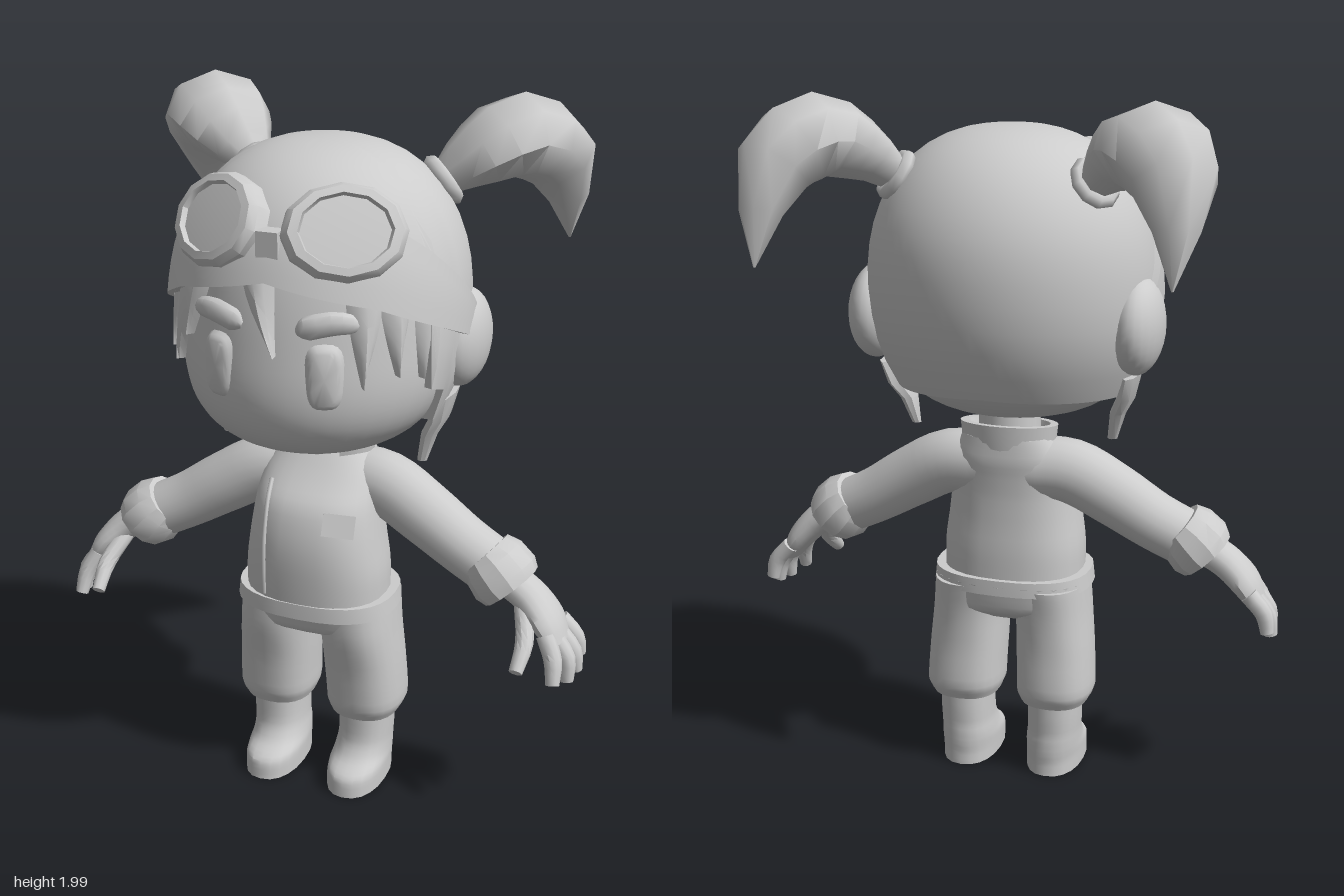
import * as THREE from 'three';
import { toCreasedNormals } from 'three/addons/utils/BufferGeometryUtils.js';

const V = (x, y, z) => new THREE.Vector3(x, y, z);
const X = V(1, 0, 0), UP = V(0, 1, 0), FRONT = V(0, 0, 1);

// Rectangular mesh of points given by fn(u, v), u and v in 0..1
function grid(nu, nv, fn, crease = 0.7) {
  const pos = [], idx = [];
  for (let j = 0; j <= nv; j++) for (let i = 0; i <= nu; i++) pos.push(...fn(i / nu, j / nv));
  for (let j = 0; j < nv; j++) for (let i = 0; i < nu; i++) {
    const a = j * (nu + 1) + i, b = a + nu + 1;
    idx.push(a, a + 1, b, a + 1, b + 1, b);
  }
  const g = new THREE.BufferGeometry();
  g.setAttribute('position', new THREE.Float32BufferAttribute(pos, 3));
  g.setIndex(idx);
  return toCreasedNormals(g, crease);
}

// Capped sweep through sections [x, y, z, radius along ref, radius across]
function loft(sections, { n = 20, steps = 4, ref = X, axis = null, power = 2, crease = 0.7 } = {}) {
  const path = new THREE.CatmullRomCurve3(sections.map(s => V(s[0], s[1], s[2])));
  const radii = new THREE.CatmullRomCurve3(sections.map(s => V(s[3], s[4], 0)));
  const rows = (sections.length - 1) * steps;
  const round = c => Math.sign(c) * Math.abs(c) ** (2 / power);
  return grid(n, rows + 2, (u, v) => {
    const k = Math.round(v * (rows + 2)) - 1, t = Math.min(Math.max(k / rows, 0), 1);
    const cap = k < 0 || k > rows ? 0 : 1;
    const c = path.getPoint(t), r = radii.getPoint(t).multiplyScalar(cap);
    const T = axis || path.getTangent(t);
    const w = ref.clone().addScaledVector(T, -ref.dot(T)).normalize();
    const s = V(0, 0, 0).crossVectors(T, w), a = u * Math.PI * 2;
    return c.addScaledVector(w, round(Math.cos(a)) * r.x).addScaledVector(s, round(Math.sin(a)) * r.y).toArray();
  }, crease);
}

// Piecewise linear lookup in [[x, value], ...]
function lookup(table, x) {
  const i = Math.max(1, table.findIndex(p => p[0] >= x));
  const [a, b] = [table[i - 1], table[i]];
  return THREE.MathUtils.lerp(a[1], b[1], (x - a[0]) / (b[0] - a[0]));
}

// Head and helmet radius at each height; the centre moves forward towards the chin
const helmetR = y => y > 1.42
  ? 0.405 * Math.max(0, 1 - ((y - 1.42) / 0.48) ** 2.4) ** (1 / 2.4)
  : 0.405 - 1.04 * (1.42 - y) ** 2;
const faceR = y => y > 1.42
  ? helmetR(y) * 0.926
  : 0.375 * Math.max(0, 1 - ((1.42 - y) / 0.335) ** 2.8) ** (1 / 2.8);
const headZ = y => 0.035 + 0.075 * Math.max(0, (1.65 - y) / 0.565) ** 1.5;
const onHead = (deg, y, R, off) => {
  const a = deg * Math.PI / 180, r = Math.max(0, R(y) + off);
  return [r * Math.sin(a), y, headZ(y) + r * Math.cos(a)];
};

export function createModel() {
  const grey = new THREE.MeshStandardMaterial({ color: 0xcccccc, side: THREE.DoubleSide });
  grey.name = 'light grey';
  const model = new THREE.Group();
  const add = (name, geo, parent = model) => {
    const m = new THREE.Mesh(geo, grey);
    m.name = name;
    parent.add(m);
    return m;
  };

  // Head
  add('head', grid(40, 28, (u, v) => onHead(u * 360, 1.42 - 0.335 * Math.cos(v * Math.PI * 0.75), faceR, 0)));

  // Helmet, cut away around the face, with a turned-in rim
  const rim = [[0, 1.61], [40, 1.55], [65, 1.48], [70, 1.3], [80, 1.28], [85, 1.18], [110, 1.17], [180, 1.2]];
  add('helmet', grid(72, 17, (u, v) => {
    const deg = u * 360 - 180, low = lookup(rim, Math.abs(deg));
    const k = Math.round(v * 17) - 1;
    if (k < 0) return onHead(deg, low, helmetR, -0.05);
    return onHead(deg, low + (1.9 - low) * Math.sin(k / 16 * Math.PI / 2), helmetR, 0);
  }));

  // Goggle strap running from ear to ear
  const strapLow = [[0, 1.61], [40, 1.55], [65, 1.48], [100, 1.38]];
  const strapTop = [[0, 1.7], [25, 1.76], [48, 1.75], [65, 1.67], [100, 1.46]];
  add('goggleStrap', grid(48, 6, (u, v) => {
    const deg = u * 200 - 100, a = Math.abs(deg), k = Math.round(v * 6);
    const y = THREE.MathUtils.lerp(lookup(strapLow, a), lookup(strapTop, a), Math.min(Math.max((k - 1) / 4, 0), 1));
    return onHead(deg, y, helmetR, k === 0 || k === 6 ? -0.01 : 0.018);
  }));
  add('goggleBridge', new THREE.BoxGeometry(0.06, 0.07, 0.05)).position.set(0, 1.7, 0.395);

  // Fringe strands: [angle of left root, right root, tip, root height, tip height]
  const strands = [[-14, 2, 4, 1.63, 1.42], [-58, -38, -52, 1.57, 1.33], [-42, -30, -40, 1.58, 1.42],
    [30, 46, 38, 1.58, 1.34], [44, 58, 52, 1.55, 1.36], [60, 70, 64, 1.5, 1.34], [-70, -60, -64, 1.5, 1.34]];
  strands.forEach(([l, r, tip, y0, y1]) => add('fringeStrand', grid(4, 6, (u, v) => {
    const t = 1 - v, deg = THREE.MathUtils.lerp(THREE.MathUtils.lerp(l, r, u), tip, t ** 1.4);
    return onHead(deg, y0 + (y1 - y0) * t, faceR, 0.004 + 0.025 * Math.sin(u * Math.PI));
  })));

  // Neck, torso, belt and hips
  add('neck', new THREE.CylinderGeometry(0.085, 0.095, 0.2, 20)).position.set(0, 1.03, 0.02);
  add('jacketBody', loft([[0, 0.59, 0.08, 0.205, 0.168], [0, 0.68, 0.083, 0.205, 0.17], [0, 0.8, 0.085, 0.19, 0.165],
    [0, 0.9, 0.07, 0.178, 0.15], [0, 0.97, 0.035, 0.168, 0.12], [0, 1.035, 0.01, 0.13, 0.09]],
  { n: 28, axis: UP, power: 2.4 }));
  add('belt', loft([[0, 0.575, 0.075, 0.235, 0.18], [0, 0.62, 0.075, 0.23, 0.178]], { n: 32, steps: 1, axis: UP, power: 2.5 }));
  add('hips', loft([[0, 0.48, 0.06, 0.15, 0.09], [0, 0.52, 0.062, 0.22, 0.152], [0, 0.6, 0.068, 0.23, 0.172]],
    { n: 28, axis: UP, power: 2.5 }));

  // Upright collar, open at the throat and lower in front
  add('collar', grid(28, 3, (u, v) => {
    const a = (u * 300 + 30) * Math.PI / 180, k = Math.round(v * 3);
    const [r, h] = [[0.135, 0], [0.142, 1], [0.12, 1], [0.095, 0]][k];
    return [r * Math.sin(a), 1 + h * (0.065 - 0.01 * Math.cos(a)), 0.015 + r * 0.72 * Math.cos(a)];
  }));

  // Jacket opening and plain chest patch
  add('jacketSeam', new THREE.TubeGeometry(new THREE.CatmullRomCurve3(
    [V(-0.105, 0.63, 0.234), V(-0.105, 0.7, 0.238), V(-0.105, 0.8, 0.233), V(-0.107, 0.9, 0.2), V(-0.113, 0.95, 0.154)]), 20, 0.007, 6));
  const patch = add('chestPatch', new THREE.BoxGeometry(0.09, 0.065, 0.009));
  patch.position.set(0.11, 0.865, 0.212);
  patch.rotation.set(-0.33, 0.36, 0);

  // Everything that comes in pairs, built on +x and mirrored
  for (const side of [1, -1]) {
    const half = new THREE.Group();
    half.name = side > 0 ? 'leftSide' : 'rightSide';
    const put = (name, geo) => add(name, geo, half);

    // Eye and eyebrow
    const eye = put('eye', loft([[0, 0, -0.03, 0.045, 0.082], [0, 0, 0.01, 0.045, 0.082], [0, 0, 0.02, 0.032, 0.069]],
      { n: 24, steps: 2, axis: FRONT, power: 3.2 }));
    eye.position.set(0.145, 1.365, 0.398);
    eye.rotation.y = 0.38;
    put('eyebrow', loft([[0.075, 1.483, 0.405, 0.012, 0.012], [0.1, 1.493, 0.405, 0.032, 0.022],
      [0.16, 1.508, 0.388, 0.032, 0.024], [0.205, 1.505, 0.365, 0.026, 0.022], [0.225, 1.495, 0.35, 0.01, 0.01]],
    { n: 10, steps: 2, ref: UP }));

    // Goggle cup with rim and lens
    const goggle = new THREE.Group();
    goggle.name = 'goggle';
    half.add(goggle);
    goggle.position.set(0.17, 1.725, 0.325);
    goggle.lookAt(0.17 + 0.45, 1.725 + 0.5, 0.325 + 0.8);
    const cup = new THREE.LatheGeometry([[0.132, -0.06], [0.13, 0.012], [0.118, 0.032], [0.098, 0.036], [0.093, 0.022], [0, 0.028]]
      .map(p => new THREE.Vector2(...p)), 12);
    cup.rotateX(Math.PI / 2);
    cup.scale(1.24, 0.98, 1);
    add('goggleCup', toCreasedNormals(cup, 0.6), goggle);

    // Ear cup and hanging ear flap
    const ear = put('earCup', new THREE.SphereGeometry(0.135, 24, 16));
    ear.scale.set(0.55, 1, 1);
    ear.position.set(0.375, 1.375, -0.025);
    put('earFlap', loft([[0.352, 1.23, 0.025, 0.024, 0.09], [0.335, 1.16, 0.03, 0.026, 0.068],
      [0.31, 1.11, 0.04, 0.023, 0.04], [0.293, 1.03, 0.05, 0.014, 0.013]], { n: 8, steps: 1, axis: UP, crease: 0.5 }));

    // Pigtail and its tie
    put('pigtail', loft([[0.28, 1.775, -0.13, 0.052, 0.048], [0.36, 1.84, -0.175, 0.118, 0.085], [0.45, 1.88, -0.25, 0.148, 0.115],
      [0.53, 1.81, -0.35, 0.115, 0.105], [0.55, 1.56, -0.45, 0.003, 0.003]], { n: 8, steps: 2, ref: V(0.75, 0, 0.65), crease: 1 }));
    const tie = put('hairTie', new THREE.TorusGeometry(0.055, 0.022, 6, 10));
    tie.position.set(0.275, 1.77, -0.127);
    tie.lookAt(0.275 + 0.6, 1.77 + 0.5, -0.127 - 0.4);

    // Sleeve and cuff
    put('sleeve', loft([[0.06, 0.935, 0.01, 0.085, 0.09], [0.18, 0.93, 0.025, 0.09, 0.093], [0.3, 0.868, 0.04, 0.088, 0.09],
      [0.42, 0.795, 0.052, 0.085, 0.083], [0.54, 0.735, 0.068, 0.085, 0.08]], { ref: FRONT }));
    put('cuff', loft([[0.49, 0.785, 0.062, 0.09, 0.076], [0.515, 0.763, 0.065, 0.106, 0.092],
      [0.55, 0.725, 0.07, 0.11, 0.098], [0.57, 0.703, 0.072, 0.1, 0.086]], { n: 12, steps: 1, ref: FRONT, crease: 0.5 }));

    // Hand with five fingers
    put('palm', loft([[0.54, 0.735, 0.07, 0.055, 0.048], [0.62, 0.69, 0.077, 0.066, 0.046],
      [0.68, 0.63, 0.088, 0.082, 0.04], [0.715, 0.575, 0.095, 0.07, 0.027]], { n: 16, ref: FRONT }));
    const fingers = [[[0.7, 0.61, 0.028], [0.745, 0.56, 0.024], [0.758, 0.505, 0.018]],
      [[0.7, 0.6, 0.07], [0.75, 0.54, 0.07], [0.762, 0.48, 0.07]],
      [[0.7, 0.6, 0.11], [0.745, 0.54, 0.12], [0.752, 0.475, 0.13]],
      [[0.69, 0.61, 0.145], [0.72, 0.55, 0.17], [0.728, 0.49, 0.195]],
      [[0.615, 0.67, 0.11], [0.642, 0.6, 0.185], [0.638, 0.54, 0.25]]];
    fingers.forEach(([a, b, c], i) => put(i < 4 ? 'finger' : 'thumb', loft(
      [[...a, 0.028, 0.026], [...b, 0.026, 0.025], [...c, 0.019, 0.019]], { n: 10, steps: 3, ref: FRONT })));

    // Trouser leg and boot
    put('trouserLeg', loft([[0.115, 0.59, 0.06, 0.11, 0.155], [0.125, 0.5, 0.063, 0.108, 0.146], [0.133, 0.38, 0.052, 0.112, 0.132],
      [0.138, 0.26, 0.042, 0.113, 0.128], [0.136, 0.22, 0.042, 0.098, 0.11]], { axis: UP, power: 2.4, n: 24 }));
    put('boot', loft([[0.131, 0, 0.087, 0.082, 0.147], [0.131, 0.055, 0.083, 0.083, 0.143], [0.132, 0.09, 0.055, 0.08, 0.115],
      [0.135, 0.14, 0.042, 0.077, 0.1], [0.137, 0.25, 0.04, 0.078, 0.1]], { axis: UP, power: 2.3 }));

    half.scale.x = side;
    model.add(half);
  }
  return model;
}
